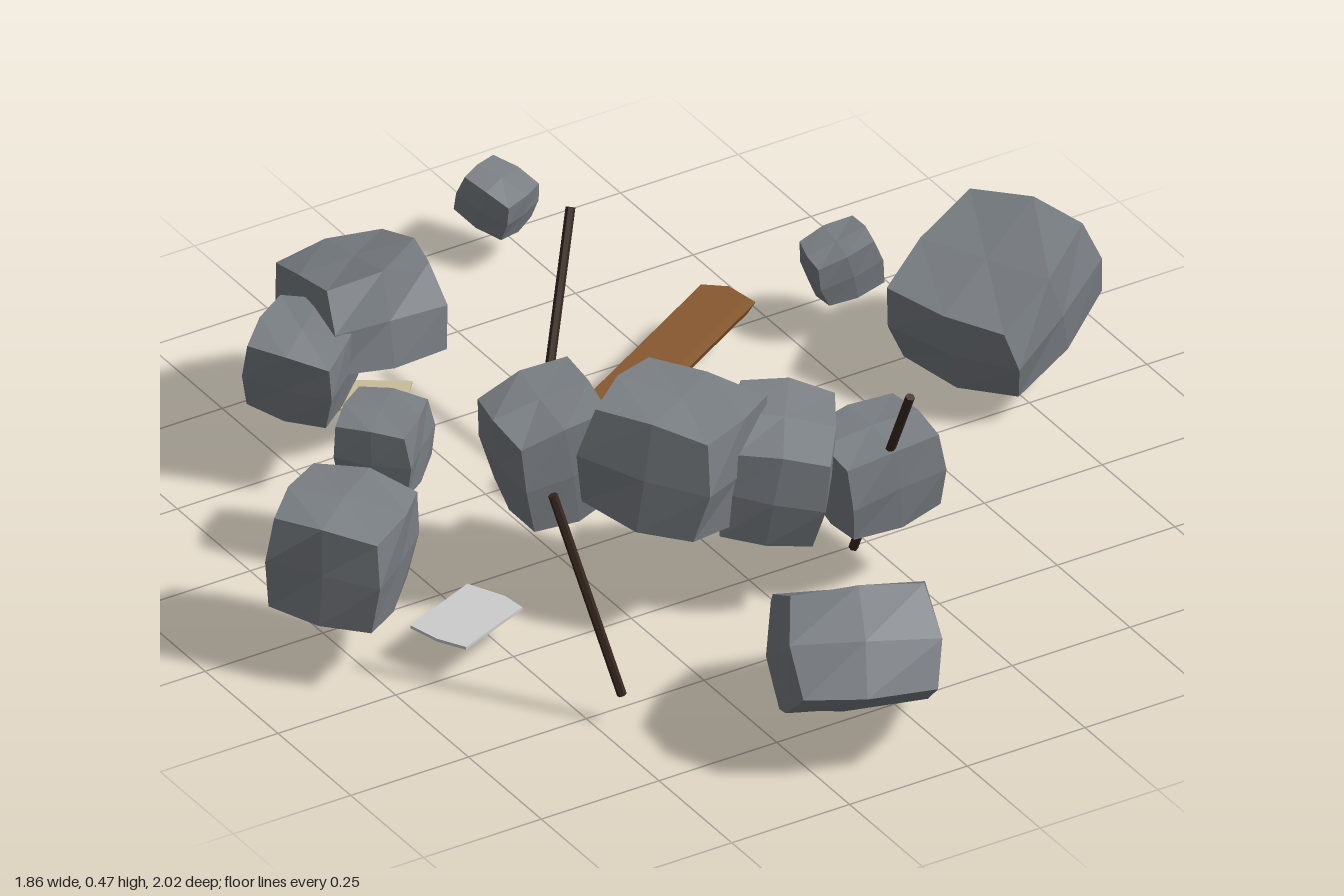
import * as THREE from 'three';

const mat = (name, color) => {
  const m = new THREE.MeshStandardMaterial({ color });
  m.name = name;
  return m;
};

// repeatable value in -0.5..0.5 for a lattice point
const noise = (x, y, z, seed) => {
  const s = Math.sin(x * 12.99 + y * 78.23 + z * 37.72 + seed * 9.17) * 43758.55;
  return s - Math.floor(s) - 0.5;
};

// faceted chunk: a box split in two each way, corners drawn in and slightly shifted
function chunkGeometry(w, h, d, seed, jitter) {
  const box = new THREE.BoxGeometry(2, 2, 2, 2, 2, 2);
  const p = box.attributes.position;
  const shrink = [0, 1, 0.96, 0.87];
  for (let i = 0; i < p.count; i++) {
    const v = [p.getX(i), p.getY(i), p.getZ(i)].map(Math.round);
    const k = shrink[v.filter((c) => c !== 0).length];
    const j = (o) => jitter * noise(v[0], v[1], v[2], seed + o);
    p.setXYZ(i, (v[0] * k + j(0)) * w / 2, (v[1] * k + j(1)) * h / 2, (v[2] * k + j(2)) * d / 2);
  }
  const flat = box.toNonIndexed();
  flat.computeVertexNormals();
  return flat;
}

// beam along x: hexagonal section, ends drawn to a blunt point
function beamGeometry(length, h, w) {
  const box = new THREE.BoxGeometry(2, 2, 2, 1, 2, 2);
  const p = box.attributes.position;
  for (let i = 0; i < p.count; i++) {
    const x = Math.sign(p.getX(i)), y = Math.round(p.getY(i)), z = Math.round(p.getZ(i));
    const edge = Math.abs(y) + Math.abs(z);
    const side = y === 0 ? 1 : 0.86;
    p.setXYZ(i, x * (length / 2 - 0.018 * edge), y * h / 2, z * side * w / 2);
  }
  const flat = box.toNonIndexed();
  flat.computeVertexNormals();
  return flat;
}

// thin slab from four ground corners [x, z]
function sheetGeometry(corners, y) {
  const shape = new THREE.Shape(corners.map(([x, z]) => new THREE.Vector2(x, -z)));
  const g = new THREE.ExtrudeGeometry(shape, { depth: 0.006, bevelEnabled: false });
  return g.rotateX(-Math.PI / 2).translate(0, y, 0);
}

export function createModel() {
  const model = new THREE.Group();
  model.name = 'rubble';
  const stone = mat('stone grey', 0x7a7f84);
  const wood = mat('warm wood', 0x87592f);
  const darkWood = mat('dark wood', 0x38271f);
  const pale = mat('pale grey', 0xcccccc);
  const beige = mat('beige', 0xc8bd9a);

  const add = (name, geometry, material) => {
    const m = new THREE.Mesh(geometry, material);
    m.name = name;
    model.add(m);
    return m;
  };

  // stones: name, centre, size, yaw, pitch, roll
  const stones = [
    ['frontBoulder', [-0.12, 0.18, 0.8], [0.28, 0.22, 0.37], -0.4, -0.6, 0],
    ['leftBoulder', [0.74, 0.18, -0.1], [0.32, 0.2, 0.29], 0.43, 0, 0.33],
    ['rightBoulder', [-0.77, 0.235, 0.1], [0.23, 0.21, 0.23], 0.66, 0.08, 0],
    ['backBoulder', [-0.34, 0.28, -0.53], [0.24, 0.19, 0.27], -0.14, -0.27, 0.05],
    ['backStone', [-0.5, 0.24, -0.475], [0.18, 0.16, 0.18], 0.65, 0.1, 0.15],
    ['smallStone', [-0.535, 0.255, -0.14], [0.15, 0.15, 0.15], 0.7, 0, 0.1],
    ['heapStone', [-0.335, 0.315, 0.11], [0.21, 0.23, 0.2], -0.1, 0.1, 0.2],
    ['heapStone', [-0.17, 0.33, 0.26], [0.27, 0.23, 0.27], 0.58, 0.1, -0.1],
    ['heapStone', [0.015, 0.275, 0.325], [0.2, 0.21, 0.25], -0.6, 0.1, -0.15],
    ['heapStone', [0.19, 0.235, 0.37], [0.21, 0.18, 0.18], 0, 0.05, 0.1],
    ['leftPebble', [0.585, 0.145, -0.38], [0.13, 0.11, 0.1], -0.1, 0.1, 0.25],
    ['backPebble', [0.195, 0.12, -0.93], [0.11, 0.09, 0.12], 0.4, 0.25, 0],
  ];
  stones.forEach(([name, at, size, yaw, pitch, roll], i) => {
    const m = add(name, chunkGeometry(...size, i + 1, 0.1), stone);
    m.position.set(...at);
    m.rotation.set(pitch, yaw, roll, 'YXZ');
  });

  // fallen beam
  const beam = add('beam', beamGeometry(0.67, 0.035, 0.11), wood);
  beam.position.set(0.118, 0.1, -0.295);
  beam.rotation.y = Math.PI / 6;

  // leaning sticks, each from foot to tip
  const up = new THREE.Vector3(0, 1, 0);
  [
    [[-0.455, 0.055, 0.55], [-0.54, 0.455, 0.45]],
    [[0.166, 0.055, 0.34], [0.188, 0.452, 0.5]],
    [[-0.135, 0.06, -0.25], [0.02, 0.438, -0.395]],
  ].forEach(([a, b]) => {
    const foot = new THREE.Vector3(...a), along = new THREE.Vector3(...b).sub(foot);
    const g = new THREE.CylinderGeometry(0.009, 0.009, along.length(), 6).toNonIndexed();
    g.computeVertexNormals();
    const m = add('stick', g, darkWood);
    m.position.copy(foot).addScaledVector(along, 0.5);
    m.quaternion.setFromUnitVectors(up, along.normalize());
  });

  // flat scraps
  add('paleSheet', sheetGeometry(
    [[-0.667, 0.166], [-0.504, 0.098], [-0.468, 0.17], [-0.462, 0.219], [-0.62, 0.282], [-0.65, 0.23]], 0.063), pale);
  add('beigeSheet', sheetGeometry(
    [[-0.223, -0.545], [-0.293, -0.463], [-0.417, -0.56], [-0.367, -0.64]], 0.063), beige);

  return model;
}
